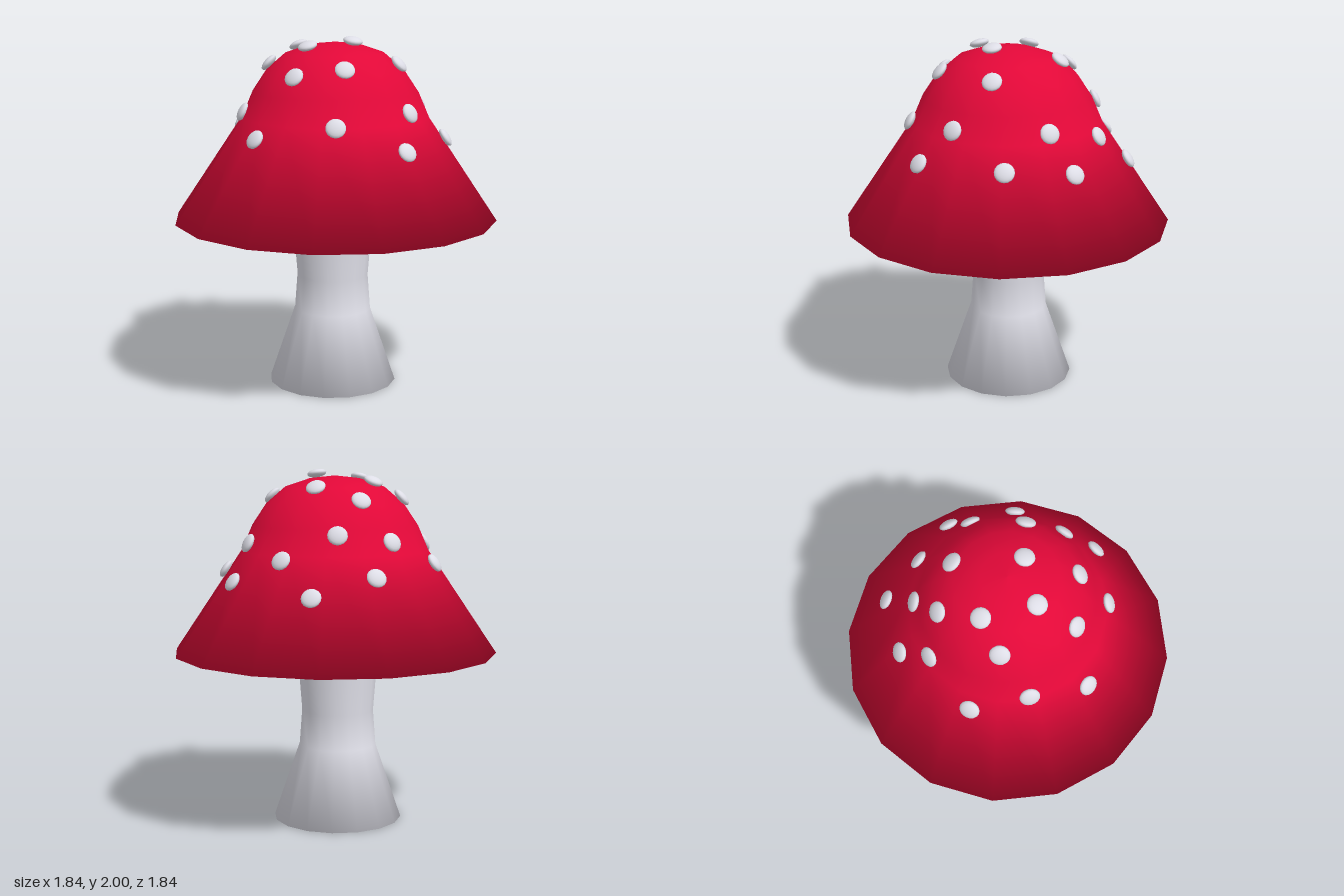
import * as THREE from 'three';

const SIDES = 16;

// Outer cap profile as [radius, height], from rim to crown
const CAP = [
  [0.92, 0.97], [0.53, 1.55], [0.47, 1.69],
  [0.39, 1.81], [0.28, 1.905], [0.14, 1.952], [0, 1.967],
];

// Hollow underside: flat roof, then a steep inner wall down to the rim
const HOLLOW = [[0, 1.27], [0.66, 1.27]];

// Spot centres as [x, z]
const SPOTS = [
  [-0.2, -0.65], [0.03, -0.56], [0.34, -0.55], [-0.46, -0.41], [-0.24, -0.43],
  [0.33, -0.4], [-0.04, -0.3], [-0.46, -0.22], [-0.29, -0.25], [0.57, -0.25],
  [-0.25, -0.02], [0.36, -0.08], [0.13, 0.03], [0.51, 0.08], [-0.58, 0.08],
  [-0.35, 0.14], [-0.06, 0.2], [0.58, 0.25], [-0.4, 0.34], [0.23, 0.3],
  [-0.02, 0.41], [0.27, 0.47], [-0.17, 0.57],
];

function material(name, color) {
  const m = new THREE.MeshStandardMaterial({ color });
  m.name = name;
  return m;
}

function lathe(name, profile, mat) {
  const points = profile.map(([r, y]) => new THREE.Vector2(r, y));
  const mesh = new THREE.Mesh(new THREE.LatheGeometry(points, SIDES), mat);
  mesh.name = name;
  return mesh;
}

// Height of the cap surface at a given radius
function capHeight(r) {
  const i = Math.max(1, CAP.findIndex(([pr]) => pr <= r));
  const [r0, y0] = CAP[i - 1];
  const [r1, y1] = CAP[i];
  return y0 + ((r - r0) / (r1 - r0)) * (y1 - y0);
}

export function createModel() {
  const model = new THREE.Group();
  model.name = 'mushroom';
  const red = material('red', 0xe20838);
  const white = material('white', 0xdddde6);

  // Cap with a hollow underside; the thin rim's smooth normals roll under
  const profile = [...HOLLOW, ...CAP];
  const cap = lathe('cap', profile, red);
  const normals = cap.geometry.attributes.normal;
  for (let i = 0; i <= SIDES; i++) {
    const a = (i / SIDES) * Math.PI * 2;
    normals.setXYZ(i * profile.length + HOLLOW.length,
      0.55 * Math.sin(a), -0.835, 0.55 * Math.cos(a));
  }
  model.add(cap);

  // Flared stem, slightly off centre
  const stem = lathe('stem', [
    [0, 0], [0.367, 0], [0.22, 0.43], [0.205, 0.63], [0.232, 0.97], [0.235, 1.28],
  ], white);
  stem.position.x = -0.018;
  model.add(stem);

  // Flattened spots lying along the cap surface
  const spots = new THREE.Group();
  spots.name = 'spots';
  const spotGeometry = new THREE.SphereGeometry(0.055, 16, 10).scale(1, 0.42, 1);
  const up = new THREE.Vector3(0, 1, 0);
  for (const [x, z] of SPOTS) {
    const r = Math.hypot(x, z);
    const slope = (capHeight(r + 0.05) - capHeight(r - 0.05)) / 0.1;
    const normal = new THREE.Vector3((-slope * x) / r, 1, (-slope * z) / r).normalize();
    const spot = new THREE.Mesh(spotGeometry, white);
    spot.name = 'spot';
    spot.position.set(x, capHeight(r) + 0.025, z);
    spot.quaternion.setFromUnitVectors(up, normal);
    spots.add(spot);
  }
  model.add(spots);
  return model;
}
